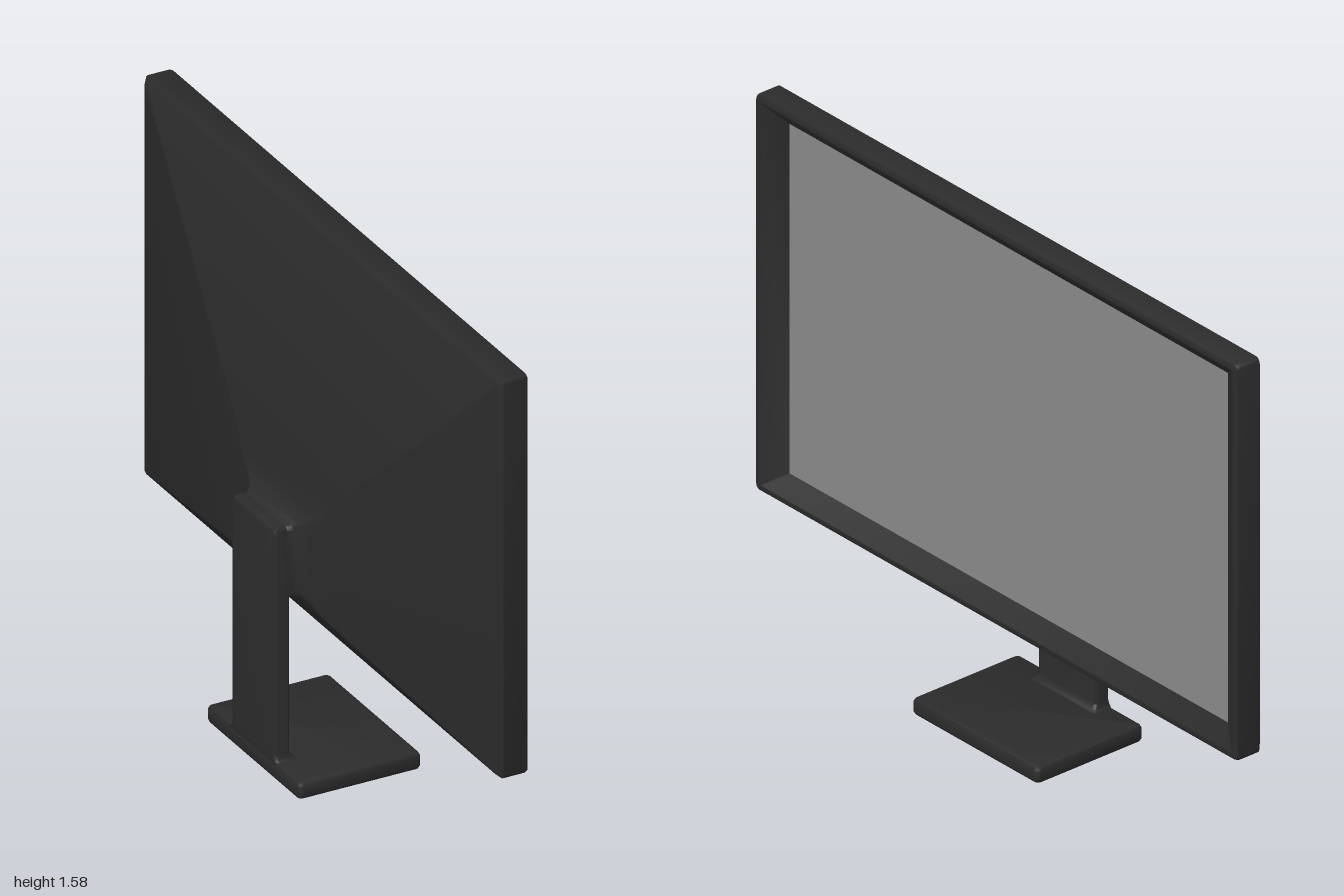
import * as THREE from 'three';
import { toCreasedNormals } from 'three/addons/utils/BufferGeometryUtils.js';

const CORNER_STEPS = 3;

// Counter-clockwise rounded rectangle as [u, v] points
function roundedRect(u0, u1, v0, v1, r) {
  const points = [];
  const corners = [[u1 - r, v1 - r], [u0 + r, v1 - r], [u0 + r, v0 + r], [u1 - r, v0 + r]];
  corners.forEach(([cu, cv], k) => {
    for (let s = 0; s <= CORNER_STEPS; s++) {
      const a = (k + s / CORNER_STEPS) * Math.PI / 2;
      points.push([cu + r * Math.cos(a), cv + r * Math.sin(a)]);
    }
  });
  return points;
}

// Skin over rounded rectangles; each ring is [position, u0, u1, v0, v1, radius].
// Axis 'x' uses u = y, v = z; axis 'y' uses u = z, v = x.
function loft(axis, rings, capEnd = true) {
  const pos = [], index = [];
  const n = 4 * (CORNER_STEPS + 1);
  const put = (t, u, v) => (axis === 'x' ? pos.push(t, u, v) : pos.push(v, t, u));
  for (const [t, u0, u1, v0, v1, r] of rings) {
    for (const [u, v] of roundedRect(u0, u1, v0, v1, r)) put(t, u, v);
  }
  for (let i = 0; i < rings.length - 1; i++) {
    for (let j = 0; j < n; j++) {
      const a = i * n + j, b = i * n + (j + 1) % n;
      index.push(a, b, b + n, a, b + n, a + n);
    }
  }
  const last = (rings.length - 1) * n;
  for (let j = 1; j < n - 1; j++) {
    index.push(0, j + 1, j);
    if (capEnd) index.push(last, last + j, last + j + 1);
  }
  const geo = new THREE.BufferGeometry();
  geo.setAttribute('position', new THREE.Float32BufferAttribute(pos, 3));
  geo.setIndex(index);
  return toCreasedNormals(geo, 0.55);
}

export function createModel() {
  const group = new THREE.Group();
  const plastic = new THREE.MeshStandardMaterial({ color: 0x2b2b2b });
  const glass = new THREE.MeshStandardMaterial({ color: 0x8a8a8a });
  const add = (name, geo, material) => {
    const mesh = new THREE.Mesh(geo, material);
    mesh.name = name;
    group.add(mesh);
    return mesh;
  };

  // Housing: mount collar, tapered back, rim, then the bezel sloping in to the screen
  add('housing', loft('x', [
    [-0.15, 0.54, 0.76, -0.12, 0.12, 0.012],
    [-0.135, 0.545, 0.765, -0.127, 0.127, 0.014],
    [-0.122, 0.55, 0.778, -0.148, 0.148, 0.016],
    [-0.11, 0.54, 0.795, -0.18, 0.18, 0.016],
    [-0.10, 0.52, 0.82, -0.225, 0.225, 0.012],
    [-0.09, 0.507, 0.88, -0.27, 0.27, 0.01],
    [0.02, 0.365, 1.56, -0.987, 0.987, 0.012],
    [0.032, 0.355, 1.575, -1, 1, 0.015],
    [0.1, 0.355, 1.575, -1, 1, 0.015],
    [0.107, 0.358, 1.572, -0.997, 0.997, 0.014],
    [0.11, 0.366, 1.564, -0.989, 0.989, 0.01],
    [0.11, 0.376, 1.554, -0.976, 0.976, 0.006],
    [0.065, 0.425, 1.502, -0.908, 0.908, 0.001],
  ], false), plastic);

  // Screen panel set back inside the bezel
  const screen = add('screen', new THREE.PlaneGeometry(1.816, 1.077), glass);
  screen.rotation.y = Math.PI / 2;
  screen.position.set(0.065, 0.9635, 0);

  // Upright neck with a small fillet where it meets the foot
  add('neck', loft('y', [
    [0.03, -0.135, 0.135, -0.188, -0.123, 0.01],
    [0.053, -0.133, 0.133, -0.188, -0.125, 0.01],
    [0.058, -0.125, 0.125, -0.19, -0.133, 0.01],
    [0.07, -0.12, 0.12, -0.19, -0.14, 0.01],
    [0.745, -0.12, 0.12, -0.19, -0.14, 0.01],
    [0.756, -0.117, 0.117, -0.187, -0.14, 0.009],
    [0.76, -0.108, 0.108, -0.178, -0.14, 0.006],
  ]), plastic);

  // Flat foot with softened edges
  add('foot', loft('y', [
    [0, -0.25, 0.25, -0.18, 0.176, 0.008],
    [0.004, -0.257, 0.257, -0.187, 0.183, 0.012],
    [0.012, -0.261, 0.261, -0.19, 0.187, 0.014],
    [0.041, -0.261, 0.261, -0.19, 0.187, 0.014],
    [0.049, -0.257, 0.257, -0.187, 0.183, 0.012],
    [0.053, -0.25, 0.25, -0.18, 0.176, 0.008],
  ]), plastic);

  return group;
}
